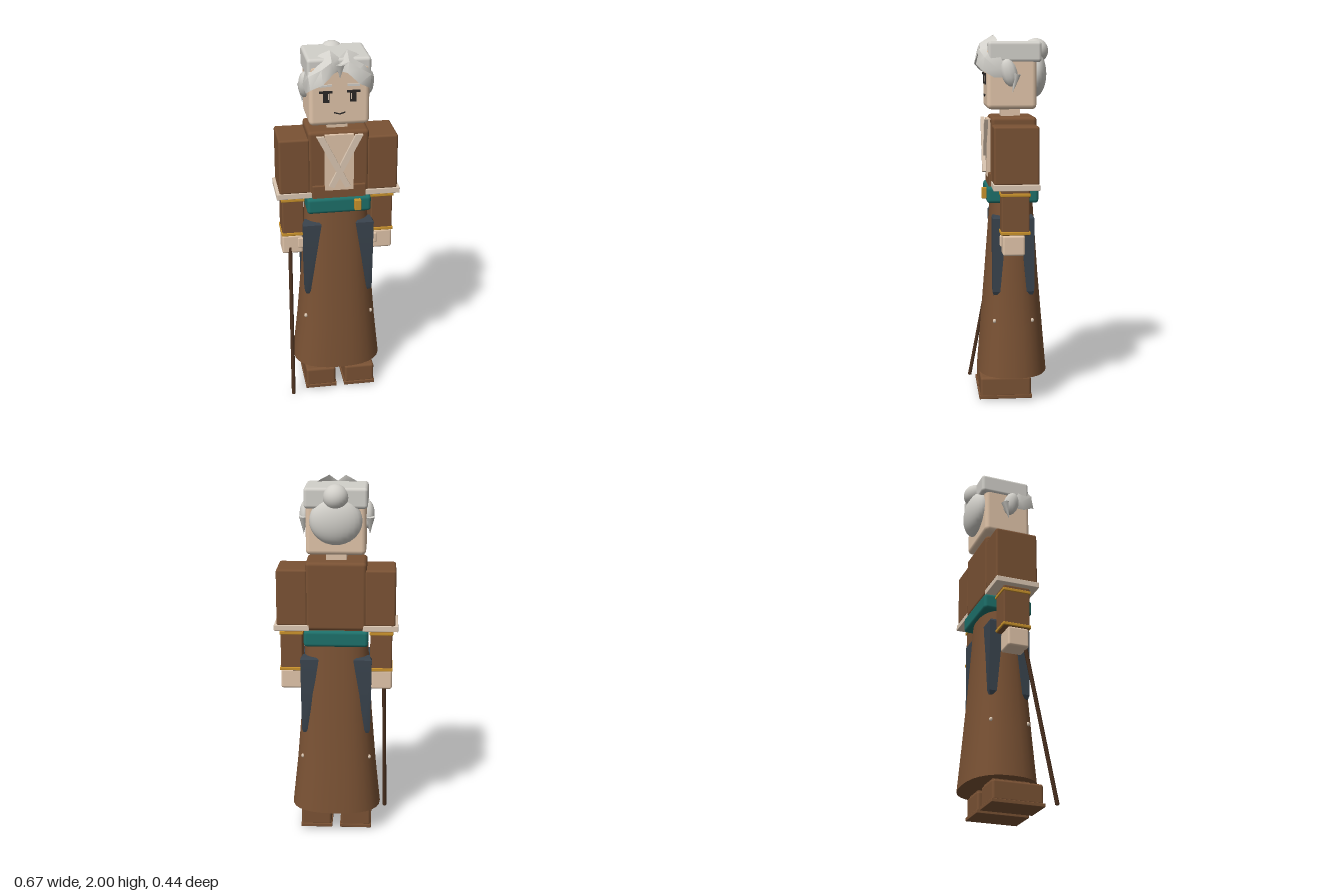
import * as THREE from 'three';
import { toCreasedNormals } from 'three/addons/utils/BufferGeometryUtils.js';
import { RoundedBoxGeometry } from 'three/addons/geometries/RoundedBoxGeometry.js';

const mat = (name, color) => Object.assign(new THREE.MeshStandardMaterial({ color }), { name });

export function createModel() {
  const brown = mat('brown cloth', 0x7a5234);
  const skin = mat('skin', 0xe0c4a9);
  const cream = mat('cream trim', 0xdcc8b3);
  const hair = mat('grey hair', 0xd2d0ca);
  const teal = mat('teal sash', 0x1d706a);
  const gold = mat('gold', 0xc9922c);
  const slate = mat('slate cloth', 0x3a444e);
  const dark = mat('dark ink', 0x2a2726);
  const wood = mat('dark wood', 0x4d3220);
  hair.side = THREE.DoubleSide;

  const model = new THREE.Group();
  model.name = 'robedElder';

  const add = (name, geo, m, parent = model) => {
    const mesh = new THREE.Mesh(geo, m);
    mesh.name = name;
    parent.add(mesh);
    return mesh;
  };
  // Box from its limits, mirrored across x when s = -1
  const box = (name, m, [x0, x1], [y0, y1], [z0, z1], r = 0.012, s = 1) => {
    const d = [x1 - x0, y1 - y0, z1 - z0];
    const geo = r ? new RoundedBoxGeometry(...d, 2, r) : new THREE.BoxGeometry(...d);
    const mesh = add(name, geo, m);
    mesh.position.set(s * (x0 + x1) / 2, (y0 + y1) / 2, (z0 + z1) / 2);
    return mesh;
  };
  const ball = (name, m, p, r, w = 24, h = 16) => {
    const mesh = add(name, new THREE.SphereGeometry(1, w, h), m);
    mesh.position.set(...p);
    mesh.scale.set(...r);
    return mesh;
  };
  // Skin over rings that run anticlockwise seen from the end of the loft
  const loft = (rings, crease) => {
    const n = rings[0].length, index = [], last = (rings.length - 1) * n;
    for (let i = 0; i < rings.length - 1; i++)
      for (let j = 0; j < n; j++) {
        const k = (j + 1) % n, a = i * n + j, b = i * n + k;
        index.push(a, b, b + n, a, b + n, a + n);
      }
    for (let j = 1; j < n - 1; j++) index.push(0, j + 1, j, last, last + j, last + j + 1);
    const geo = new THREE.BufferGeometry();
    geo.setAttribute('position', new THREE.Float32BufferAttribute(rings.flat(2), 3));
    geo.setIndex(index);
    return toCreasedNormals(geo, crease);
  };

  // Robe skirt: flared, softly squared oval
  const oval = (y, a, b, zc) => Array.from({ length: 28 }, (_, i) => {
    const t = i / 28 * Math.PI * 2, c = Math.cos(t), d = -Math.sin(t), p = 0.82;
    return [a * Math.sign(c) * Math.abs(c) ** p, y, zc + b * Math.sign(d) * Math.abs(d) ** p];
  });
  add('skirt', loft([
    oval(0.14, 0.25, 0.194, -0.015), oval(0.4, 0.222, 0.172, -0.014),
    oval(0.7, 0.197, 0.147, -0.013), oval(1.13, 0.172, 0.115, -0.014),
  ], 0.7), brown);

  // Torso, waist band, neck, sash
  box('torso', brown, [-0.165, 0.165], [1.19, 1.565], [-0.14, 0.105], 0.02);
  box('waistBand', brown, [-0.145, 0.145], [1.18, 1.26], [-0.13, 0.118], 0.005);
  box('neck', skin, [-0.055, 0.055], [1.55, 1.62], [-0.06, 0.045], 0);
  box('sash', teal, [-0.175, 0.175], [1.1, 1.19], [-0.15, 0.13], 0.018);
  box('sashClasp', gold, [0.08, 0.116], [1.12, 1.18], [0.12, 0.155], 0.004);

  // Crossed collar over an inner shirt
  box('innerShirt', skin, [-0.078, 0.078], [1.235, 1.55], [0.1, 0.123], 0);
  for (const s of [1, -1]) {
    const strip = new THREE.Shape([[0.085, 1.55], [0.125, 1.55], [0.0, 1.31],
      [-0.03, 1.255], [-0.058, 1.265], [-0.02, 1.34]].map(([x, y]) => new THREE.Vector2(s * x, y)));
    add('collar', new THREE.ExtrudeGeometry(strip, { depth: 0.02, bevelEnabled: false }), cream)
      .position.z = s > 0 ? 0.12 : 0.127;
  }

  const rect = (y, xs, z0, z1) => {
    const [x0, x1] = [Math.min(...xs), Math.max(...xs)];
    return [[x0, y, z1], [x1, y, z1], [x1, y, z0], [x0, y, z0]];
  };
  for (const s of [1, -1]) {
    // Arms
    box('upperSleeve', brown, [0.155, 0.322], [1.215, 1.525], [-0.138, 0.103], 0.012, s);
    box('sleeveTrim', cream, [0.145, 0.337], [1.187, 1.22], [-0.14, 0.106], 0.004, s);
    box('forearm', brown, [0.186, 0.306], [0.945, 1.19], [-0.088, 0.062], 0.008, s);
    for (const y of [0.948, 1.153])
      box('goldBand', gold, [0.182, 0.311], [y, y + 0.018], [-0.093, 0.067], 0.004, s);
    box('hand', skin, [0.192, 0.308], [0.835, 0.945], [-0.064, 0.055], 0.012, s);
    box('thumb', skin, [0.182, 0.222], [0.87, 0.932], [0.01, 0.064], 0.008, s);

    // Shoes and soles
    box('shoe', brown, [0.027, 0.197], [0.02, 0.132], [-0.11, 0.17], 0.014, s);
    box('sole', brown, [0.022, 0.2], [0.01, 0.03], [-0.115, 0.177], 0.003, s);
    box('leg', brown, [0.045, 0.175], [0.11, 0.3], [-0.1, 0.1], 0, s);

    // Tapered hip panels and skirt studs, front and back
    for (const f of [1, -1]) {
      const panel = (y, x0, x1, z0, z1) => {
        const a = -0.012 + f * z0, b = -0.012 + f * z1;
        return rect(y, [s * x0, s * x1], Math.min(a, b), Math.max(a, b));
      };
      add('hipPanel', loft([panel(0.595, 0.165, 0.182, 0.09, 0.108), panel(0.615, 0.158, 0.19, 0.072, 0.114),
        panel(1.02, 0.095, 0.196, 0.035, 0.114), panel(1.032, 0.105, 0.188, 0.045, 0.106)], 0.3), slate);
      ball('skirtStud', cream, [s * 0.187, 0.452, -0.012 + f * 0.104], [0.01, 0.012, 0.01], 10, 8);
    }

    // Face
    box('eye', dark, [0.054, 0.088], [1.735, 1.79], [0.126, 0.134], 0, s);
    box('eyelid', dark, [0.038, 0.108], [1.786, 1.797], [0.126, 0.136], 0, s);
    box('eyeGlint', cream, [0.058, 0.063], [1.75, 1.782], [0.13, 0.1355], 0, s);
    box('eyebrow', hair, [0.04, 0.105], [1.82, 1.83], [0.126, 0.135], 0, s).rotation.z = -s * 0.06;
    box('mouthCorner', dark, [-0.001, 0.031], [1.672, 1.677], [0.126, 0.134], 0, s).rotation.z = s * 0.3;

    // Swept fringe: closed sections of upper, outer, lower and inner points
    const sections = [
      [[0, 1.965, 0.11], [0, 1.93, 0.13], [0, 1.9, 0.128], [0, 1.93, 0.11]],
      [[0.045, 2.0, 0.085], [0.045, 1.955, 0.155], [0.035, 1.9, 0.165], [0.04, 1.93, 0.11]],
      [[0.095, 1.975, 0.068], [0.1, 1.92, 0.165], [0.095, 1.845, 0.182], [0.095, 1.9, 0.115]],
      [[0.15, 1.935, 0.085], [0.165, 1.88, 0.14], [0.155, 1.81, 0.15], [0.145, 1.87, 0.11]],
      [[0.172, 1.87, 0.05], [0.185, 1.82, 0.07], [0.172, 1.775, 0.09], [0.155, 1.81, 0.06]],
      [[0.17, 1.82, 0.0], [0.176, 1.8, 0.0], [0.17, 1.775, 0.0], [0.158, 1.79, 0.0]],
    ].map(r => r.map(([x, y, z]) => [s * x, y, z]));
    if (s > 0) sections.forEach(r => r.reverse());
    add('fringe', loft(sections, 0.75), hair);

    // Side locks
    const lock = ball('sideLock', hair, [s * 0.168, 1.8, 0.01], [0.034, 0.075, 0.045], 10, 8);
    lock.rotation.x = 0.25;
    const tip = add('sideLockTip', new THREE.ConeGeometry(0.024, 0.1, 8), hair);
    tip.position.set(s * 0.178, 1.745, -0.018);
    tip.rotation.x = Math.PI - 0.2;
  }

  // Head, hair cap and bun
  box('head', skin, [-0.16, 0.16], [1.605, 1.93], [-0.14, 0.128], 0.025);
  box('hairCap', hair, [-0.168, 0.168], [1.855, 1.965], [-0.165, 0.122], 0.018);
  ball('backHair', hair, [0, 1.79, -0.14], [0.14, 0.128, 0.067]);
  ball('bun', hair, [0, 1.915, -0.15], [0.068, 0.068, 0.068]);
  const forelock = add('forelock', new THREE.ConeGeometry(0.025, 0.075, 6), hair);
  forelock.position.set(0, 1.9, 0.137);
  forelock.rotation.x = Math.PI;

  // Walking stick held in the right hand
  const path = new THREE.LineCurve3(new THREE.Vector3(-0.264, 0.9, 0.04), new THREE.Vector3(-0.279, 0.004, 0.208));
  add('walkingStick', new THREE.TubeGeometry(path, 1, 0.011, 6), wood);
  ball('stickFoot', wood, [-0.279, 0.011, 0.207], [0.011, 0.011, 0.011], 8, 6);

  return model;
}
